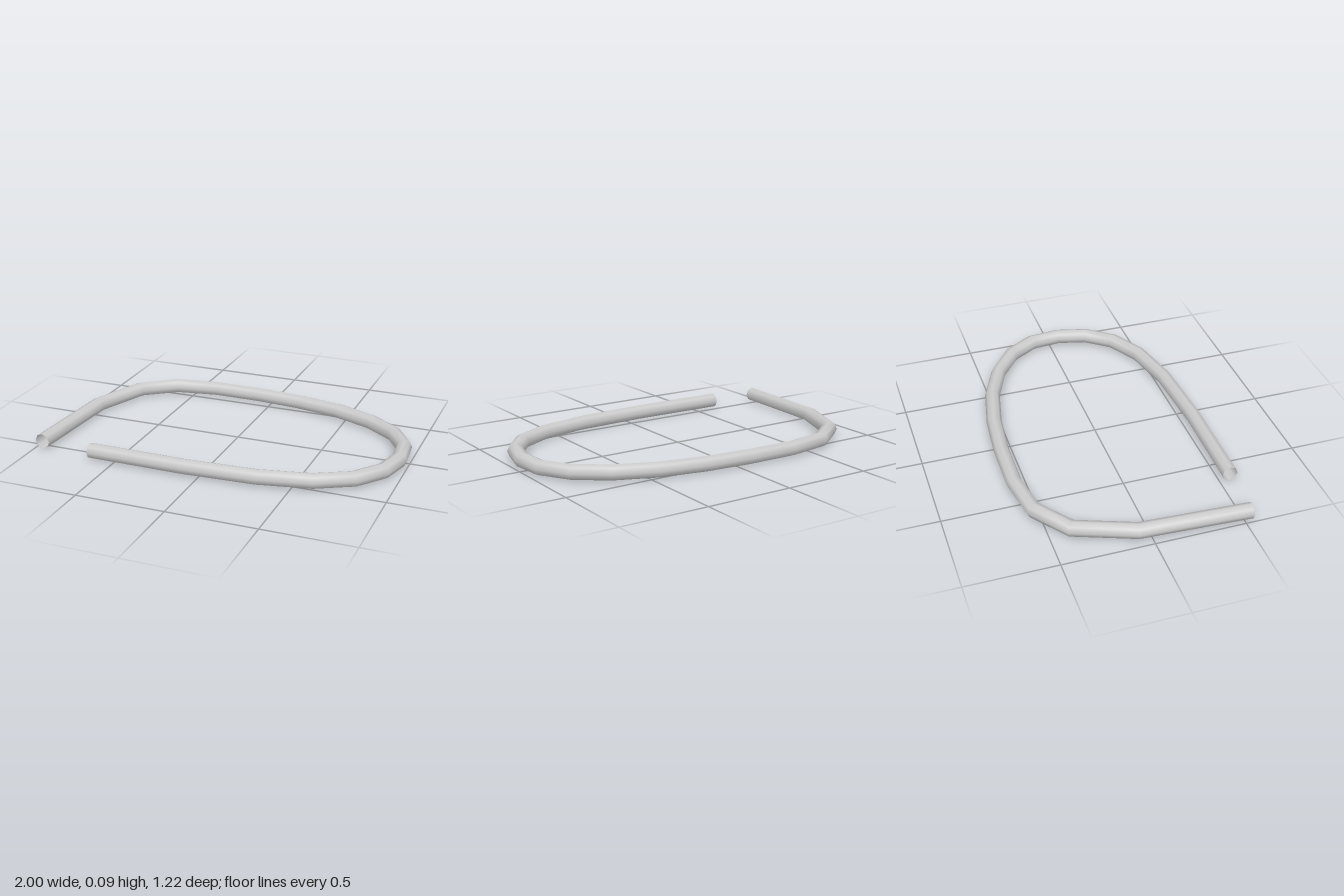
import * as THREE from 'three';

const RADIUS = 0.043;
const SIDES = 8;

// Centre line of the bent rod, as [x, z]
const PATH = [
  [-0.957, 0.546], [-0.925, -0.065], [-0.803, -0.385], [-0.61, -0.528],
  [-0.365, -0.57], [-0.08, -0.567], [0.187, -0.543], [0.447, -0.49],
  [0.673, -0.397], [0.843, -0.27], [0.938, -0.115], [0.954, 0.06],
  [0.91, 0.23], [0.795, 0.378], [0.602, 0.482], [0.316, 0.542],
  [-0.09, 0.563], [-0.65, 0.557],
].map(([x, z]) => new THREE.Vector3(x, RADIUS, z));

// Sideways direction at each bend, lengthened so the mitred rod keeps its width
function mitres(points) {
  const up = new THREE.Vector3(0, 1, 0);
  const dirs = points.slice(1).map((p, i) => p.clone().sub(points[i]).normalize());
  return points.map((_, i) => {
    const before = dirs[Math.max(i - 1, 0)];
    const after = dirs[Math.min(i, dirs.length - 1)];
    const tangent = before.clone().add(after).normalize();
    return { side: tangent.clone().cross(up), stretch: 1 / tangent.dot(after) };
  });
}

// Open cylinder whose rings are moved onto the path
function bentTube(points) {
  const n = points.length - 1;
  const frames = mitres(points);
  const geo = new THREE.CylinderGeometry(RADIUS, RADIUS, 1, SIDES, n, true);
  const pos = geo.attributes.position;
  const nor = geo.attributes.normal;
  const v = new THREE.Vector3();
  for (let k = 0; k < pos.count; k++) {
    const i = Math.round((pos.getY(k) + 0.5) * n);
    const { side, stretch } = frames[i];
    v.copy(points[i]).addScaledVector(side, pos.getX(k) * stretch);
    v.y += pos.getZ(k);
    pos.setXYZ(k, v.x, v.y, v.z);
    v.copy(side).multiplyScalar(nor.getX(k));
    v.y = nor.getZ(k);
    nor.setXYZ(k, v.x, v.y, v.z);
  }
  return geo;
}

export function createModel() {
  const group = new THREE.Group();
  group.name = 'bentRod';
  const material = new THREE.MeshStandardMaterial({ color: 0xcccccc, side: THREE.DoubleSide });
  const rod = new THREE.Mesh(bentTube(PATH), material);
  rod.name = 'openLoopTube';
  group.add(rod);
  return group;
}
